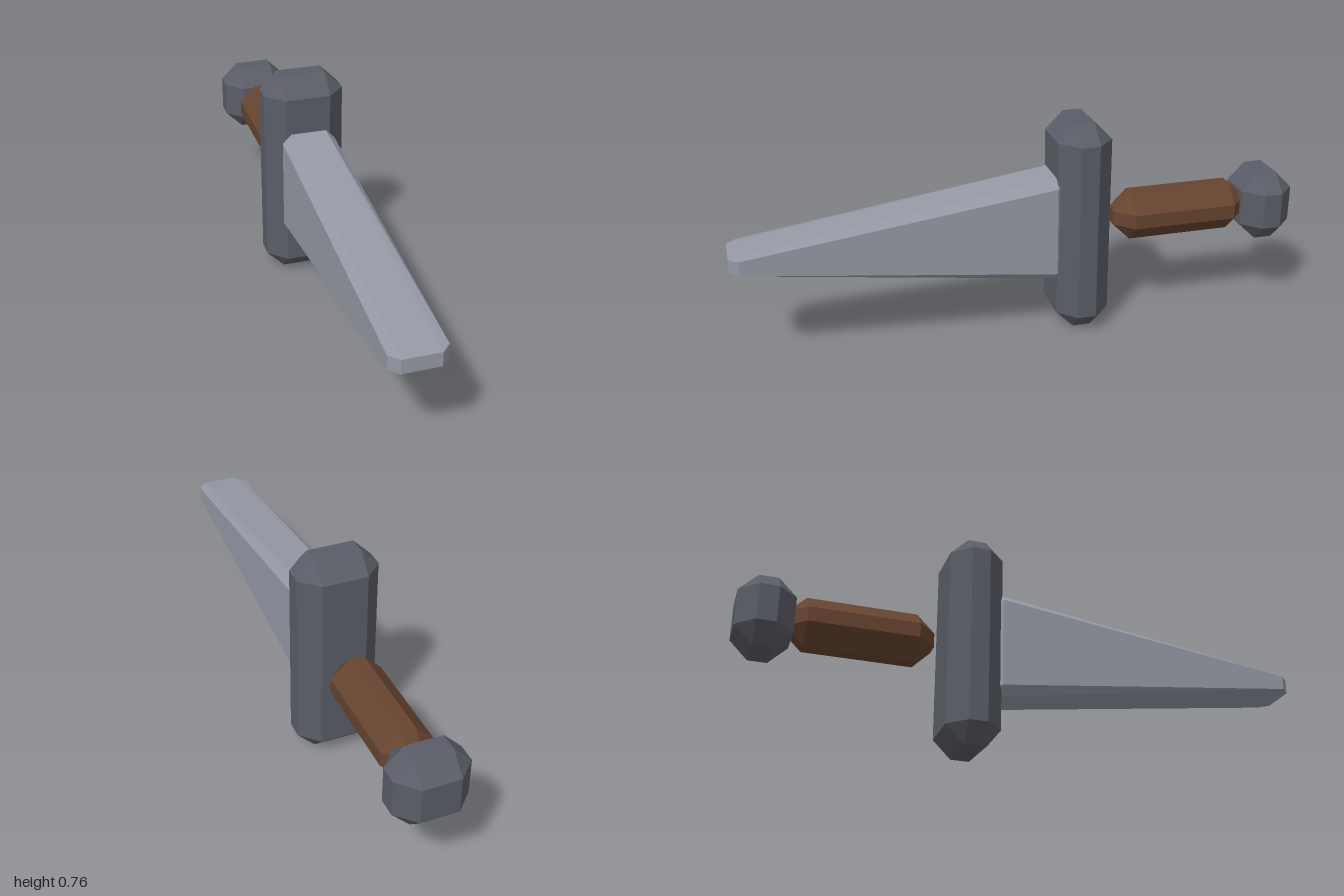
import * as THREE from 'three';
import { ConvexGeometry } from 'three/addons/geometries/ConvexGeometry.js';

const mat = (name, color) => {
  const m = new THREE.MeshStandardMaterial({ color });
  m.name = name;
  return m;
};

const MID_Y = 0.382;

// Box with every edge bevelled by c; an optional rule moves the corner points
function bevelBox(hx, hy, hz, c, rule = (p) => p) {
  const points = [];
  const half = [hx, hy, hz];
  for (const sx of [-1, 1]) for (const sy of [-1, 1]) for (const sz of [-1, 1]) {
    const signs = [sx, sy, sz];
    // one point per face meeting at this corner
    for (let face = 0; face < 3; face++) {
      const v = half.map((h, axis) => signs[axis] * (axis === face ? h : h - c));
      points.push(rule(new THREE.Vector3(...v)));
    }
  }
  return new ConvexGeometry(points);
}

export function createModel() {
  const group = new THREE.Group();
  group.name = 'dagger';
  const blade = mat('blade steel', 0x9499a5);
  const darkMetal = mat('dark metal', 0x5a5d67);
  const leather = mat('brown grip', 0x664430);

  const add = (name, geometry, material, z) => {
    const mesh = new THREE.Mesh(geometry, material);
    mesh.name = name;
    mesh.position.set(0, MID_Y, z);
    group.add(mesh);
  };

  // Blade: bevelled box whose front end is squeezed to a thin tip
  const tipRule = (p) => {
    if (p.z > 0) p.y = Math.sign(p.y) * 0.025;
    return p;
  };
  add('blade', bevelBox(0.094, 0.191, 0.57, 0.031, tipRule), blade, 0.43);

  // Hilt
  add('guard', bevelBox(0.142, 0.382, 0.095, 0.0625), darkMetal, -0.206);
  add('grip', bevelBox(0.088, 0.088, 0.25, 0.0625), leather, -0.585);
  add('pommel', bevelBox(0.126, 0.126, 0.095, 0.0625), darkMetal, -0.905);

  return group;
}
